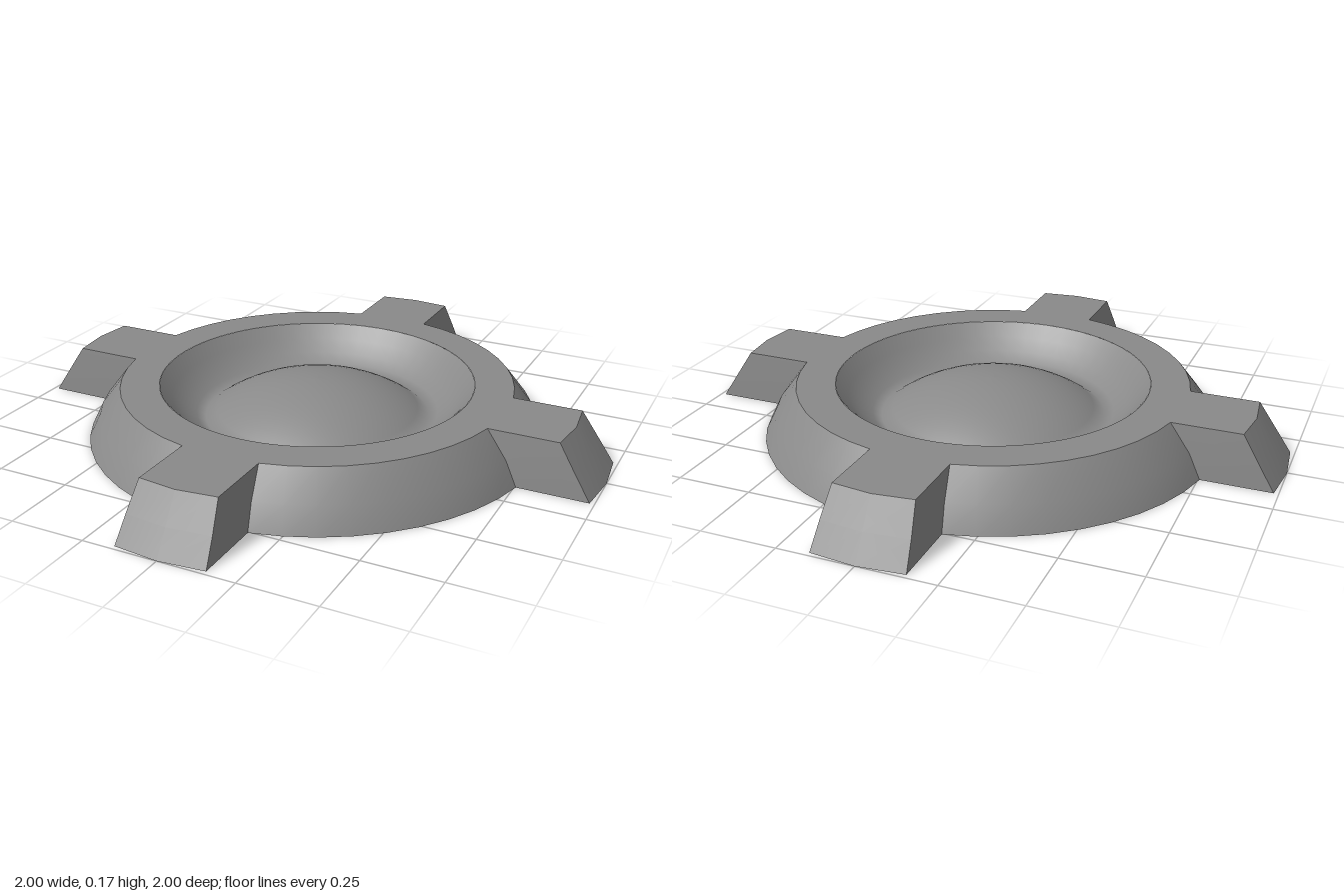
import * as THREE from 'three';
import { toCreasedNormals } from 'three/addons/utils/BufferGeometryUtils.js';

const HEIGHT = 0.17;
const BOWL_RADIUS = 0.53;
const ARC_STEPS = 9;

// Counter-clockwise outline of a disc with four arms
function outline(radius, halfWidth, reach) {
  const points = [];
  const root = Math.sqrt(radius * radius - halfWidth * halfWidth);
  const rootAngle = Math.atan2(halfWidth, root);
  for (let k = 0; k < 4; k++) {
    const turn = (k * Math.PI) / 2;
    const arm = [
      [root, -halfWidth], [reach - 0.015, -halfWidth], [reach, 0],
      [reach - 0.015, halfWidth], [root, halfWidth],
    ];
    for (const [u, v] of arm) {
      points.push(new THREE.Vector2(u, v).rotateAround(new THREE.Vector2(), turn));
    }
    for (let i = 1; i < ARC_STEPS; i++) {
      const a = turn + rootAngle + ((Math.PI / 2 - 2 * rootAngle) * i) / ARC_STEPS;
      points.push(new THREE.Vector2(Math.cos(a), Math.sin(a)).multiplyScalar(radius));
    }
  }
  return points;
}

// Sloped wall through a stack of outlines
function wallGeometry(levels) {
  const positions = [];
  const index = [];
  const count = levels[0].points.length;
  for (const { y, points } of levels) {
    for (const p of points) positions.push(p.x, y, -p.y);
  }
  for (let l = 0; l < levels.length - 1; l++) {
    for (let i = 0; i < count; i++) {
      const a = l * count + i;
      const b = l * count + ((i + 1) % count);
      index.push(a, b, b + count, a, b + count, a + count);
    }
  }
  const geometry = new THREE.BufferGeometry();
  geometry.setAttribute('position', new THREE.Float32BufferAttribute(positions, 3));
  geometry.setIndex(index);
  return toCreasedNormals(geometry, 0.6);
}

export function createModel() {
  const group = new THREE.Group();
  group.name = 'dishWithFourArms';
  const grey = new THREE.MeshStandardMaterial({ color: 0x8a8a8a });
  grey.name = 'grey';

  const add = (name, geometry) => {
    const mesh = new THREE.Mesh(geometry, grey);
    mesh.name = name;
    group.add(mesh);
    return mesh;
  };

  const bottom = outline(0.77, 0.15, 1.0);
  const middle = outline(0.73, 0.142, 0.948);
  const top = outline(0.66, 0.13, 0.89);

  // Slightly bulging outer wall
  add('outerWall', wallGeometry([
    { y: 0, points: bottom },
    { y: 0.08, points: middle },
    { y: HEIGHT, points: top },
  ]));

  // Flat rim and arm tops, open over the bowl
  const rimShape = new THREE.Shape(top);
  const hole = new THREE.Path();
  hole.absarc(0, 0, BOWL_RADIUS, 0, Math.PI * 2, true);
  rimShape.holes.push(hole);
  add('rimTop', new THREE.ShapeGeometry(rimShape, 48).rotateX(-Math.PI / 2)).position.y = HEIGHT;

  // Flat underside
  add('underside', new THREE.ShapeGeometry(new THREE.Shape(bottom)).rotateX(Math.PI / 2));

  // Bowl wall running down into a shallow central dome
  const profile = [[BOWL_RADIUS, HEIGHT], [0.49, 0.125], [0.45, 0.085], [0.41, 0.06]]
    .map(([r, y]) => new THREE.Vector2(r, y));
  const domeRadius = 0.65;
  for (let i = 0; i <= 10; i++) {
    const r = 0.38 * (1 - i / 10);
    const drop = domeRadius - Math.sqrt(domeRadius * domeRadius - r * r);
    profile.push(new THREE.Vector2(r, HEIGHT - 0.003 - drop));
  }
  add('bowlAndDome', new THREE.LatheGeometry(profile, 48));

  return group;
}
